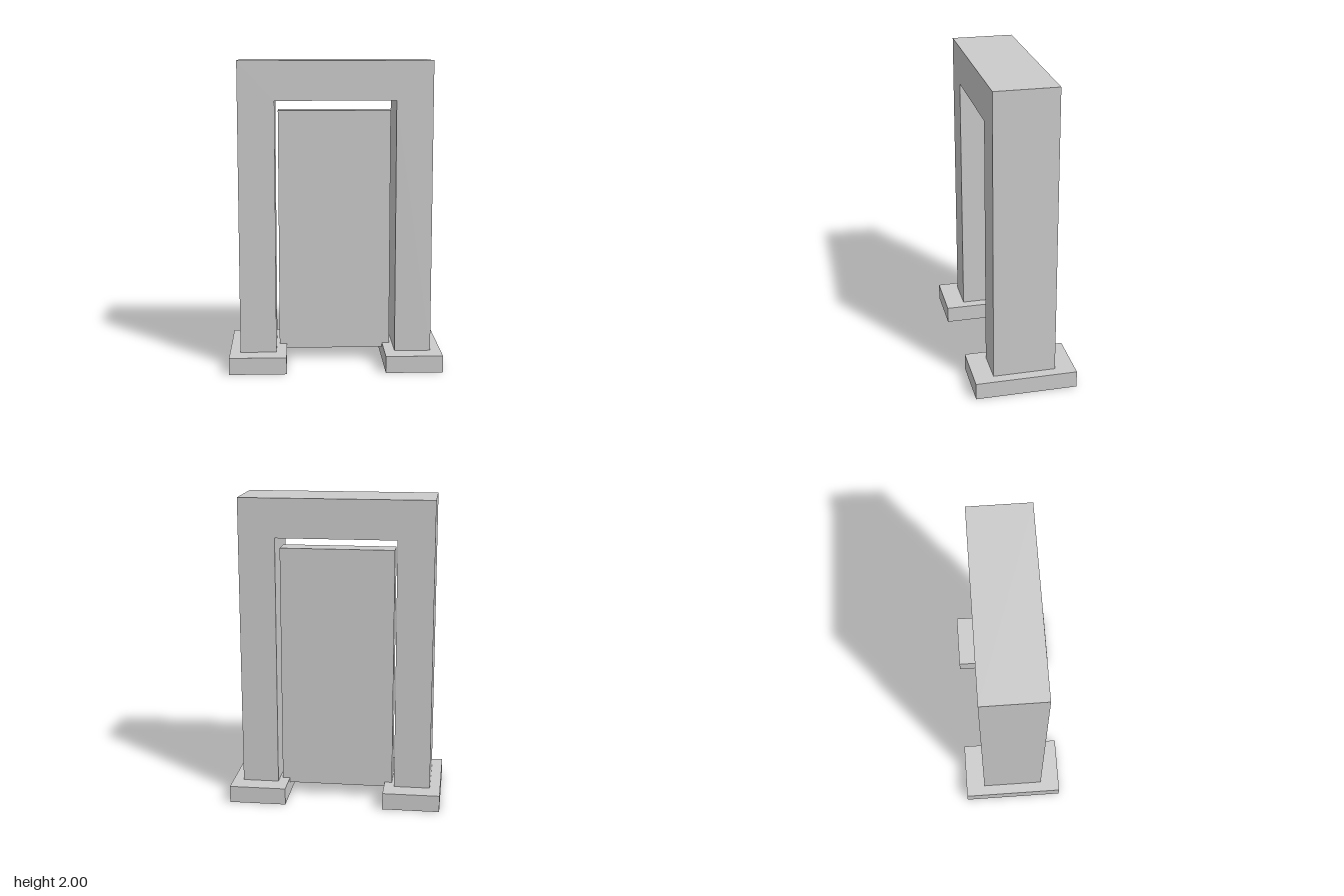
import * as THREE from 'three';

const material = new THREE.MeshStandardMaterial({ color: 0xcccccc, flatShading: true });

// Box given by its min and max corners
function block(name, [x0, y0, z0], [x1, y1, z1]) {
  const mesh = new THREE.Mesh(new THREE.BoxGeometry(x1 - x0, y1 - y0, z1 - z0), material);
  mesh.position.set((x0 + x1) / 2, (y0 + y1) / 2, (z0 + z1) / 2);
  mesh.name = name;
  return mesh;
}

export function createModel() {
  const group = new THREE.Group();
  group.name = 'doorway';

  const outer = 0.622, inner = 0.387, footTop = 0.11, lintelBottom = 1.748, halfDepth = 0.203;

  // Door frame: two posts and a lintel in one piece
  const outline = new THREE.Shape([
    [-outer, footTop], [-inner, footTop], [-inner, lintelBottom], [inner, lintelBottom],
    [inner, footTop], [outer, footTop], [outer, 2], [-outer, 2],
  ].map(([x, y]) => new THREE.Vector2(x, y)));
  const frameGeometry = new THREE.ExtrudeGeometry(outline, { depth: 2 * halfDepth, bevelEnabled: false });
  frameGeometry.translate(0, 0, -halfDepth);
  const frame = new THREE.Mesh(frameGeometry, material);
  frame.name = 'doorFrame';
  group.add(frame);

  // Door panel, hung slightly behind the middle of the frame
  group.add(block('doorPanel', [-0.368, 0.08, -0.135], [0.368, 1.674, 0.01]));

  // Foot slab under each post
  group.add(block('leftFoot', [0.32, 0, -0.331], [0.69, footTop, 0.331]));
  group.add(block('rightFoot', [-0.69, 0, -0.331], [-0.32, footTop, 0.331]));

  return group;
}
